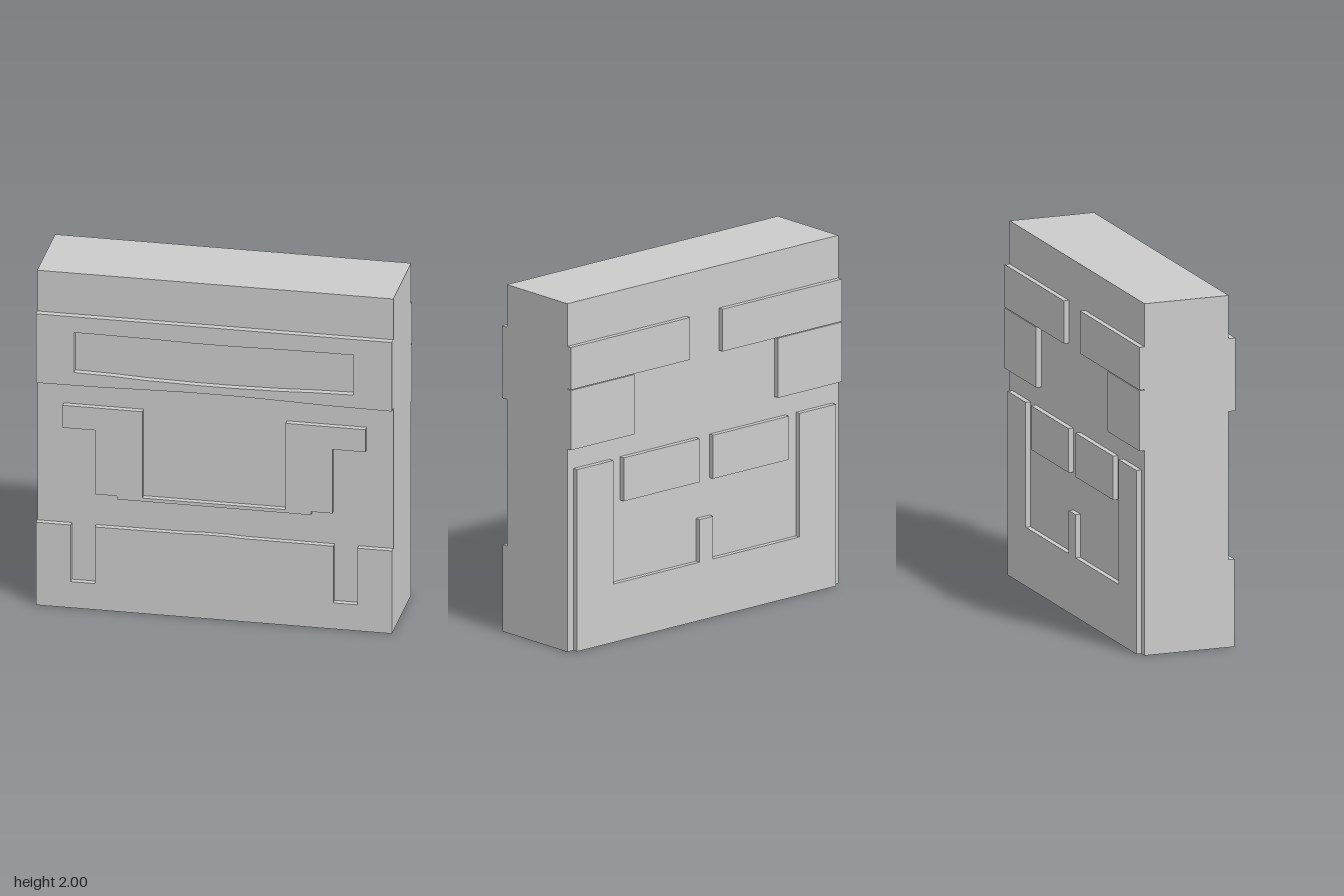
import * as THREE from 'three';

const FRONT = 0.245, BACK = -0.255;
const material = new THREE.MeshStandardMaterial({ color: 0xcccccc, flatShading: true });

const toPoints = (pts) => pts.map(([x, y]) => new THREE.Vector2(x, y));

// Complete a right-half outline (listed from the centre outwards and back) with its mirror image
const mirrored = (half) => [...half, ...half.slice().reverse().map(([x, y]) => [-x, y])];

const rect = (x0, x1, y0, y1) => [[x0, y0], [x1, y0], [x1, y1], [x0, y1]];

export function createModel() {
  const group = new THREE.Group();

  // Raised flat panel, extruded from z0 to z1
  function panel(name, outline, z0, z1, hole) {
    const shape = new THREE.Shape(toPoints(outline));
    if (hole) shape.holes.push(new THREE.Path(toPoints(hole)));
    const geometry = new THREE.ExtrudeGeometry(shape, { depth: z1 - z0, bevelEnabled: false });
    geometry.translate(0, 0, z0);
    const mesh = new THREE.Mesh(geometry, material);
    mesh.name = name;
    group.add(mesh);
  }
  const frontPanel = (name, outline, z = 0.28, hole) => panel(name, outline, FRONT, z, hole);
  const backPanel = (name, outline) => panel(name, outline, -0.285, BACK);

  // Main slab
  const slab = new THREE.Mesh(new THREE.BoxGeometry(2, 2, FRONT - BACK), material);
  slab.position.set(0, 1, (FRONT + BACK) / 2);
  slab.name = 'slab';
  group.add(slab);

  // Front: upper band with a long, slightly bowed window
  frontPanel('upperBand',
    mirrored([[0.15, 1.355], [0.37, 1.35], [0.64, 1.343], [1, 1.34], [1, 1.755]]),
    0.285,
    mirrored([[0.1, 1.402], [0.38, 1.407], [0.56, 1.415], [0.785, 1.42],
      [0.785, 1.66], [0.67, 1.66], [0.38, 1.658], [0.1, 1.653]]));

  // Front: U-shaped relief with outward tabs
  frontPanel('middleRelief', mirrored([[0.545, 0.675], [0.545, 0.695], [0.665, 0.695],
    [0.665, 1.08], [0.85, 1.08], [0.85, 1.215], [0.402, 1.215], [0.402, 0.695]]));

  // Front: lower plate with two slots
  frontPanel('lowerPlate', mirrored([[1, 0], [1, 0.498], [0.805, 0.498], [0.805, 0.157],
    [0.67, 0.157], [0.67, 0.498], [0.15, 0.5], [0.08, 0.504]]));

  // Back: mirrored bars and blocks
  for (const [side, s] of [['left', 1], ['right', -1]]) {
    const box = (x0, x1, y0, y1) => rect(Math.min(s * x0, s * x1), Math.max(s * x0, s * x1), y0, y1);
    backPanel(side + 'UpperBar', box(0.12, 1, 1.512, 1.755));
    backPanel(side + 'OuterBlock', box(0.53, 1, 1.165, 1.508));
    backPanel(side + 'MiddleBlock', box(0.05, 0.61, 0.795, 1.045));
  }

  // Back: U-shaped frame with a central stub
  backPanel('lowerFrame', mirrored([[0.955, 0], [0.955, 1.045], [0.687, 1.045],
    [0.687, 0.335], [0.05, 0.335], [0.05, 0.58]]));

  return group;
}
